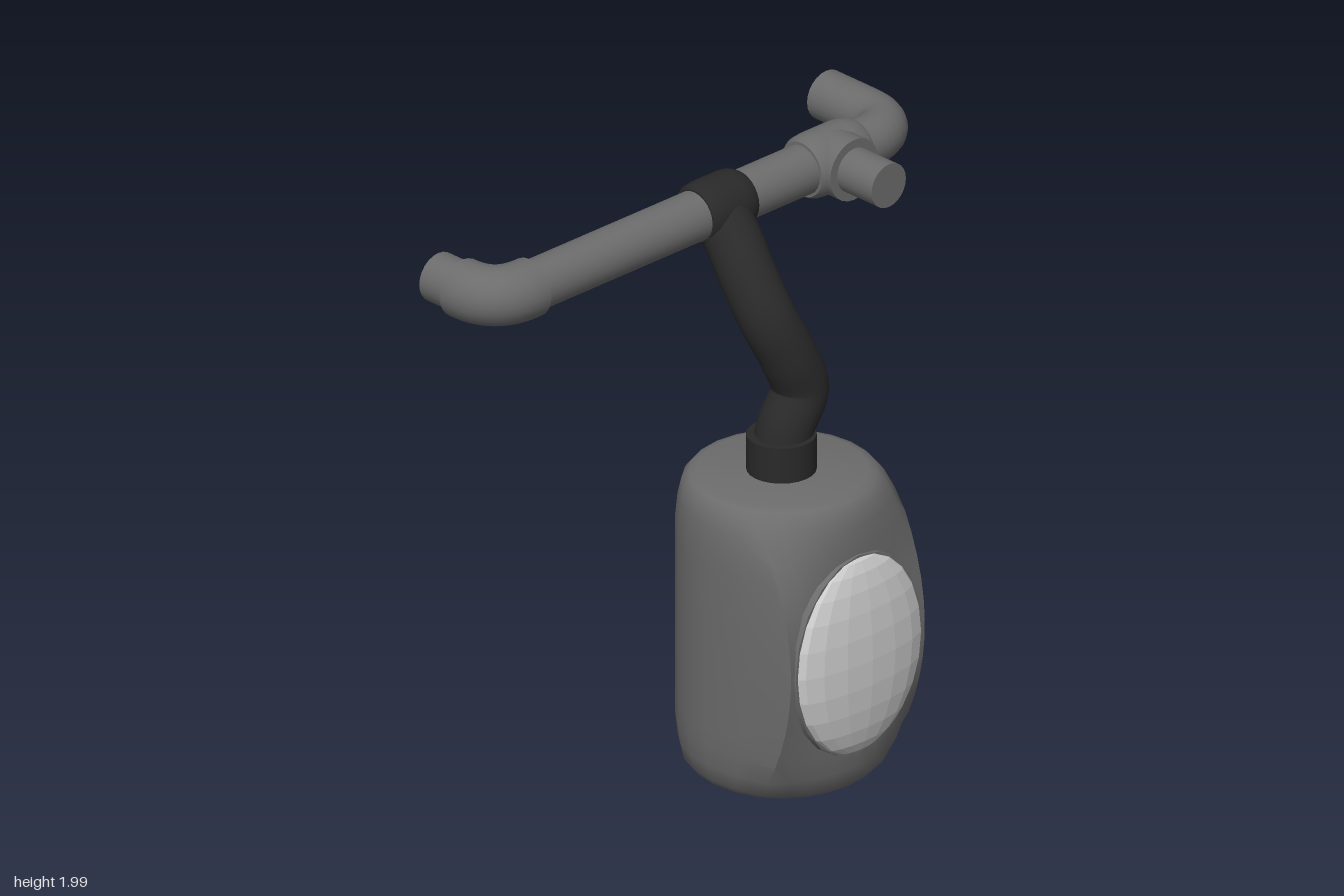
import * as THREE from 'three';
import { mergeGeometries, toCreasedNormals } from 'three/addons/utils/BufferGeometryUtils.js';

const V = (x, y, z) => new THREE.Vector3(x, y, z);
const material = (color) => new THREE.MeshStandardMaterial({ color });
const grey = material(0x6c6c6c), black = material(0x292929), pale = material(0xcccccc);
const PIPE_Y = 1.885, PIPE_Z = -0.195;

function part(name, geometry, mat) {
  const mesh = new THREE.Mesh(geometry, mat);
  mesh.name = name;
  return mesh;
}

// Round tube along a curve with flat discs on both ends
function pipe(curve, radius, segments = 40) {
  const pieces = [new THREE.TubeGeometry(curve, segments, radius, 24)];
  for (const t of [0, 1]) {
    const dir = curve.getTangentAt(t).multiplyScalar(t ? 1 : -1);
    const q = new THREE.Quaternion().setFromUnitVectors(V(0, 0, 1), dir);
    const at = curve.getPointAt(t);
    pieces.push(new THREE.CircleGeometry(radius, 24).applyQuaternion(q).translate(at.x, at.y, at.z));
  }
  return mergeGeometries(pieces);
}

const straight = (a, b, radius) => pipe(new THREE.LineCurve3(a, b), radius, 1);

// Path along x, turning through a rounded corner to the back
function bentPath(x0, xCorner, zEnd, bend) {
  const s = Math.sign(xCorner);
  const p = (x, z) => V(x, PIPE_Y, z);
  const a = p(xCorner - s * bend, PIPE_Z), b = p(xCorner, PIPE_Z - bend);
  const path = new THREE.CurvePath();
  path.add(new THREE.LineCurve3(p(x0, PIPE_Z), a));
  path.add(new THREE.QuadraticBezierCurve3(a, p(xCorner, PIPE_Z), b));
  path.add(new THREE.LineCurve3(b, p(xCorner, zEnd)));
  return path;
}

// Barrel-shaped sleeve around the crossbar
function sleeve(xCentre, halfLength, radius) {
  const h = halfLength;
  const profile = [[0.08, -h], [radius - 0.015, -h], [radius - 0.004, -h + 0.02], [radius, -h * 0.5],
    [radius, h * 0.5], [radius - 0.004, h - 0.02], [radius - 0.015, h], [0.08, h]];
  const g = new THREE.LatheGeometry(profile.map(([r, y]) => new THREE.Vector2(r, y)), 28);
  return toCreasedNormals(g.rotateZ(-Math.PI / 2).translate(xCentre, PIPE_Y, PIPE_Z), 0.9);
}

// Canister: round ends and back, the front swelling to a flat face in the middle
function canister() {
  const N = 24, R = 0.347, cx = 0.098, cz = 0.112;
  const rows = [[0.01, 0], [0.01, 0.8], [0.018, 0.88], [0.045, 0.945], [0.1, 0.98]];
  for (let i = 1; i < 12; i++) rows.push([0.1 + i * 0.86 / 12, 1]);
  rows.push([0.96, 0.98], [1.015, 0.945], [1.042, 0.88], [1.05, 0.8], [1.05, 0]);
  const pos = [], index = [];
  rows.forEach(([y, s], j) => {
    const swell = Math.max(0, 1 - ((y - 0.51) / 0.52) ** 2);
    for (let i = 0; i < N; i++) {
      const a = i / N * Math.PI * 2, sin = Math.sin(a);
      const flat = sin > 0 ? Math.min(1, sin * 2) : sin;
      pos.push(cx + R * s * Math.cos(a), y, cz + R * s * THREE.MathUtils.lerp(sin, flat, swell));
      if (j) {
        const k = (i + 1) % N, lo = (j - 1) * N, hi = j * N;
        index.push(lo + i, hi + i, hi + k, lo + i, hi + k, lo + k);
      }
    }
  });
  const g = new THREE.BufferGeometry();
  g.setAttribute('position', new THREE.Float32BufferAttribute(pos, 3));
  g.setIndex(index);
  g.computeVertexNormals();
  return g;
}

export function createModel() {
  const model = new THREE.Group();
  model.name = 'pipeMountedCanister';
  const onBar = (x, z = PIPE_Z) => V(x, PIPE_Y, z);

  // Crossbar, bent to the back at its left end
  model.add(part('crossbar', pipe(bentPath(-0.8, 0.915, -0.53, 0.15), 0.085, 72), grey));

  // Wider elbow at the right end, with a pipe stub in it
  model.add(part('elbow', pipe(bentPath(-0.74, -0.9, -0.345, 0.144), 0.1, 48), grey));
  model.add(part('elbowStub', straight(onBar(-0.9, -0.3), onBar(-0.9, -0.455), 0.085), grey));

  // Tee fitting with a branch to the front
  model.add(part('teeSleeve', sleeve(0.6, 0.12, 0.11), grey));
  model.add(part('teeSocket', straight(onBar(0.6), onBar(0.6, -0.075), 0.108), grey));
  model.add(part('teeBranch', straight(onBar(0.6), onBar(0.6, 0.085), 0.077), grey));

  // Clamp, curved hose and collar
  model.add(part('clamp', sleeve(0.1, 0.102, 0.106), black));
  const hosePath = new THREE.CatmullRomCurve3([
    V(0.09, 1.08, 0.105), V(0.115, 1.19, 0.105), V(0.18, 1.31, 0.105), V(0.135, 1.44, 0.098),
    V(0.08, 1.58, 0.06), V(0.073, 1.7, -0.02), V(0.09, 1.8, -0.11), V(0.1, 1.87, -0.18)]);
  model.add(part('hose', pipe(hosePath, 0.095, 48), black));
  model.add(part('collar', straight(V(0.098, 1.04, 0.105), V(0.098, 1.175, 0.105), 0.114), black));

  // Body with a faceted oval lens in a thin rim
  model.add(part('body', toCreasedNormals(canister(), 0.7), grey));
  const rim = new THREE.CylinderGeometry(1, 1.02, 0.04, 20).rotateX(Math.PI / 2).scale(0.284, 0.355, 1);
  rim.translate(0.097, 0.51, 0.445);
  model.add(part('lensRim', toCreasedNormals(rim, 0.7), grey));
  const lensMaterial = pale.clone();
  lensMaterial.flatShading = true;
  const dome = new THREE.SphereGeometry(1, 16, 12).scale(0.28, 0.35, 0.07);
  model.add(part('lens', dome.translate(0.097, 0.51, 0.459), lensMaterial));
  return model;
}
